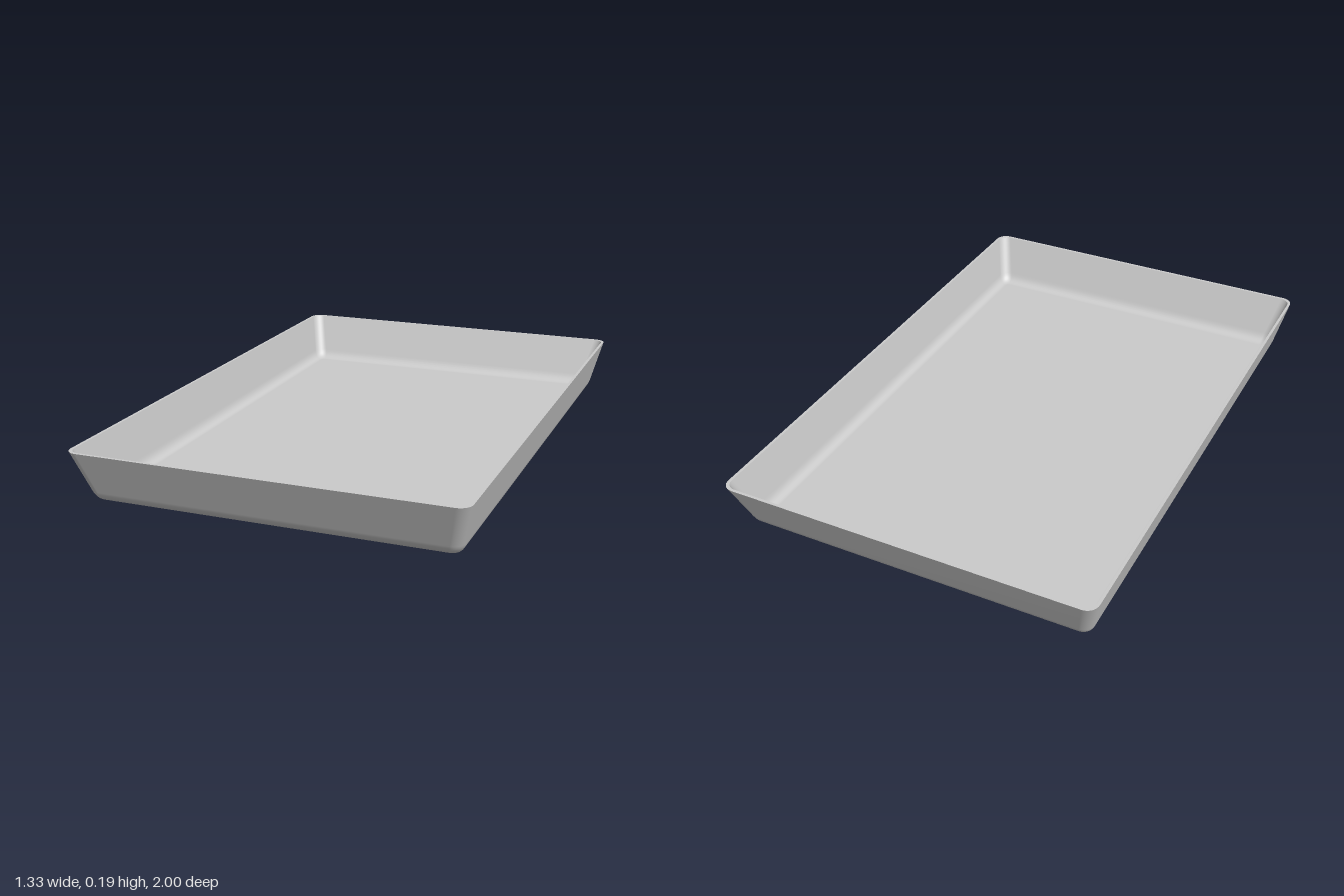
import * as THREE from 'three';

const HEIGHT = 0.185, WALL = 0.01, CORNER_STEPS = 8, FILLET_STEPS = 7;

// Rounded rectangle cross-section at height y, running from +x towards +z
function ring(hx, hz, r, y) {
  const points = [];
  for (let q = 0; q < 4; q++) {
    const sx = q === 0 || q === 3 ? 1 : -1, sz = q < 2 ? 1 : -1;
    for (let s = 0; s <= CORNER_STEPS; s++) {
      const a = (q + s / CORNER_STEPS) * Math.PI / 2;
      points.push([sx * (hx - r) + r * Math.cos(a), y, sz * (hz - r) + r * Math.sin(a)]);
    }
  }
  return points;
}

// Smooth skin through a list of rings
function loft(rings) {
  const n = rings[0].length, index = [];
  for (let i = 0; i < rings.length - 1; i++) {
    for (let j = 0; j < n; j++) {
      const k = (j + 1) % n;
      const a = i * n + j, b = i * n + k, c = a + n, d = b + n;
      index.push(a, c, b, b, c, d);
    }
  }
  const geometry = new THREE.BufferGeometry();
  geometry.setAttribute('position', new THREE.Float32BufferAttribute(rings.flat(2), 3));
  geometry.setIndex(index);
  geometry.computeVertexNormals();
  return geometry;
}

// Floor, curved bottom edge and sloping wall, from the floor centre up to the rim
function shellRings(inset, floorY) {
  const topX = 0.666 - inset, topZ = 1 - inset;
  const footX = 0.62 - inset * 0.8, footZ = 0.923 - inset * 0.8;
  const f = 0.036 / HEIGHT; // share of the wall height taken by the fillet
  const rings = [ring(0, 0, 0, floorY)];
  for (let s = 0; s <= FILLET_STEPS; s++) {
    const t = s / FILLET_STEPS, u = 1 - t;
    const bend = (foot, top) =>
      u * u * (foot - 0.028) + 2 * u * t * foot + t * t * (foot + (top - foot) * f);
    rings.push(ring(bend(footX, topX), bend(footZ, topZ),
      0.012 + 0.026 * Math.sin(t * Math.PI / 2), floorY + t * t * 0.036));
  }
  rings.push(ring(topX, topZ, 0.042 - inset * 0.5, HEIGHT));
  return rings;
}

export function createModel() {
  const group = new THREE.Group();
  group.name = 'tray';
  const material = new THREE.MeshStandardMaterial({ color: 0xcccccc });

  const outer = shellRings(0, 0);
  const inner = shellRings(WALL, WALL).reverse();
  const parts = {
    outerShell: outer,
    rim: [outer[outer.length - 1], inner[0]],
    innerShell: inner,
  };
  for (const [name, rings] of Object.entries(parts)) {
    const mesh = new THREE.Mesh(loft(rings), material);
    mesh.name = name;
    group.add(mesh);
  }
  return group;
}
